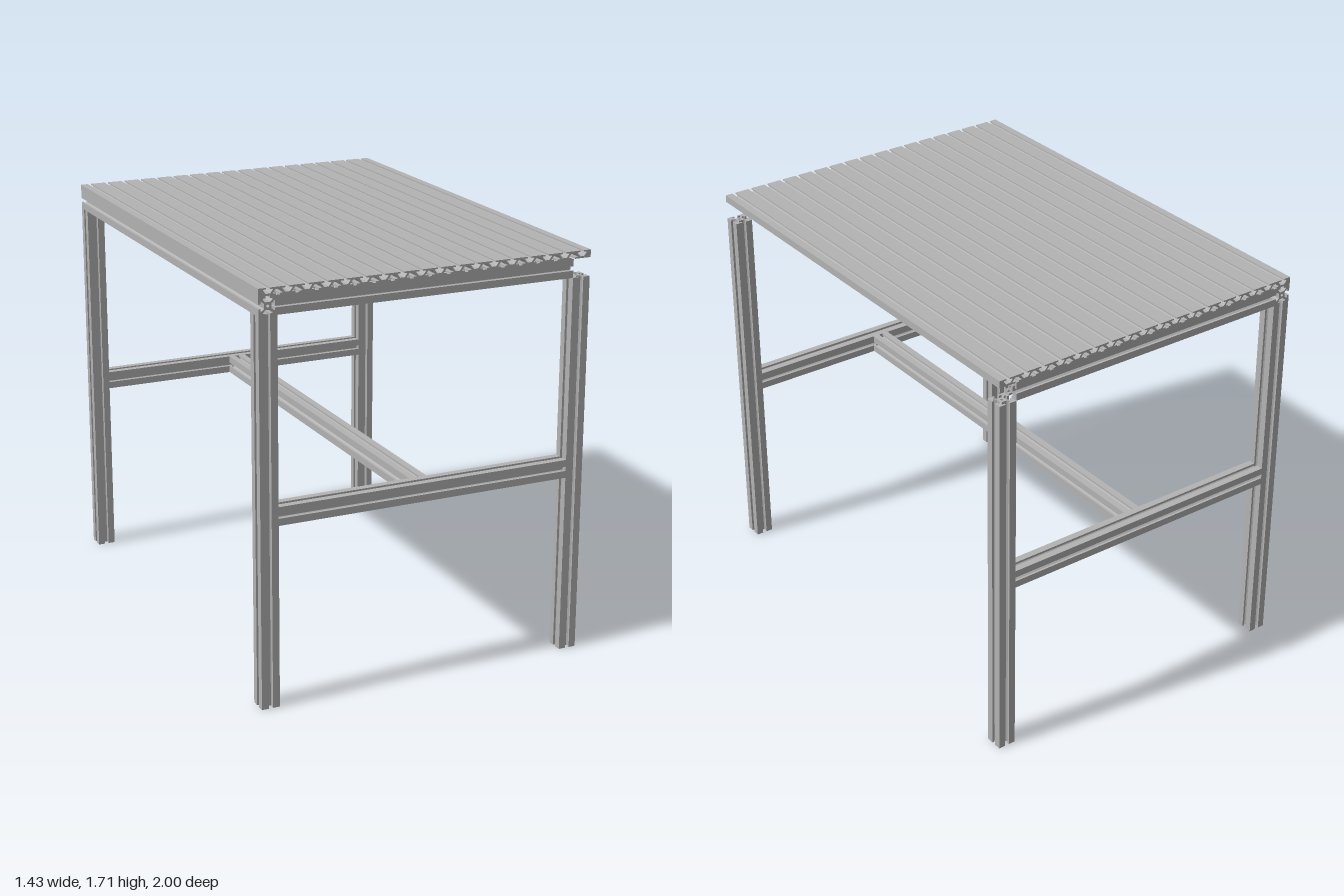
import * as THREE from 'three';

const S = 0.0385;              // half width of the square slotted bar
const LEG_X = 0.677, LEG_Z = 0.9615;
const LEG_TOP = 1.602, TOP_W = 0.716, TOP_Y = 1.679, TOP_T = 0.031;

// square bar section with one T-slot per side and a bored core
function barShape() {
  const side = [
    [S, -S], [S, -0.009], [S - 0.009, -0.009], [S - 0.009, -0.019], [S - 0.014, -0.019],
    [S - 0.0235, -0.01], [S - 0.0235, 0.01], [S - 0.014, 0.019], [S - 0.009, 0.019],
    [S - 0.009, 0.009], [S, 0.009],
  ];
  const pts = [];
  for (let k = 0; k < 4; k++) {
    for (const [x, y] of side) {
      pts.push(new THREE.Vector2(x, y).rotateAround(new THREE.Vector2(), k * Math.PI / 2));
    }
  }
  const shape = new THREE.Shape(pts);
  shape.holes.push(new THREE.Path().absarc(0, 0, 0.006, 0, Math.PI * 2, true));
  return shape;
}

// thin board section with slots alternating between its two faces
function boardShape() {
  const n = 18, pitch = 2 * TOP_W / n;
  const slot = [
    [-0.008, 0], [-0.008, 0.006], [-0.02, 0.006], [-0.02, 0.009], [-0.009, 0.023],
    [0.009, 0.023], [0.02, 0.009], [0.02, 0.006], [0.008, 0.006], [0.008, 0],
  ];
  const pts = [[-TOP_W, 0]];
  for (let i = 1; i < n; i++) {
    for (const [x, y] of slot) pts.push([-TOP_W + i * pitch + x, y]);
  }
  pts.push([TOP_W, 0], [TOP_W, TOP_T]);
  for (let i = n - 1; i >= 0; i--) {
    for (const [x, y] of slot) pts.push([-TOP_W + (i + 0.5) * pitch - x, TOP_T - y]);
  }
  pts.push([-TOP_W, TOP_T]);
  return new THREE.Shape(pts.map(([x, y]) => new THREE.Vector2(x, y)));
}

// extrusion centred along z
function extrude(shape, length) {
  const g = new THREE.ExtrudeGeometry(shape, { depth: length, bevelEnabled: false, curveSegments: 6 });
  return g.translate(0, 0, -length / 2);
}

export function createModel() {
  const group = new THREE.Group();
  const aluminium = new THREE.MeshStandardMaterial({ color: 0xb3b3b3 });
  const section = barShape();

  const bar = (name, axis, length, x, y, z) => {
    const g = extrude(section, length);
    if (axis === 'x') g.rotateY(Math.PI / 2);
    if (axis === 'y') g.rotateX(-Math.PI / 2);
    const mesh = new THREE.Mesh(g, aluminium);
    mesh.name = name;
    mesh.position.set(x, y, z);
    group.add(mesh);
  };

  const span = 2 * (LEG_X - S);
  for (const [end, sz] of [['front', 1], ['back', -1]]) {
    // legs
    bar(end + 'LeftLeg', 'y', LEG_TOP, LEG_X, LEG_TOP / 2, sz * LEG_Z);
    bar(end + 'RightLeg', 'y', LEG_TOP, -LEG_X, LEG_TOP / 2, sz * LEG_Z);
    // rails across the ends
    bar(end + 'TopRail', 'x', span, 0, LEG_TOP + S, sz * LEG_Z);
    bar(end + 'MiddleRail', 'x', span, 0, 0.801, sz * LEG_Z);
  }

  // lengthwise bars: stretcher between middle rails, one top rail on the right
  bar('stretcher', 'z', 2 * (LEG_Z - S), 0, 0.801, 0);
  bar('rightTopRail', 'z', 2, -LEG_X, LEG_TOP + S, 0);

  // slotted table top
  const top = new THREE.Mesh(extrude(boardShape(), 2), aluminium);
  top.name = 'tableTop';
  top.position.y = TOP_Y;
  group.add(top);

  return group;
}
